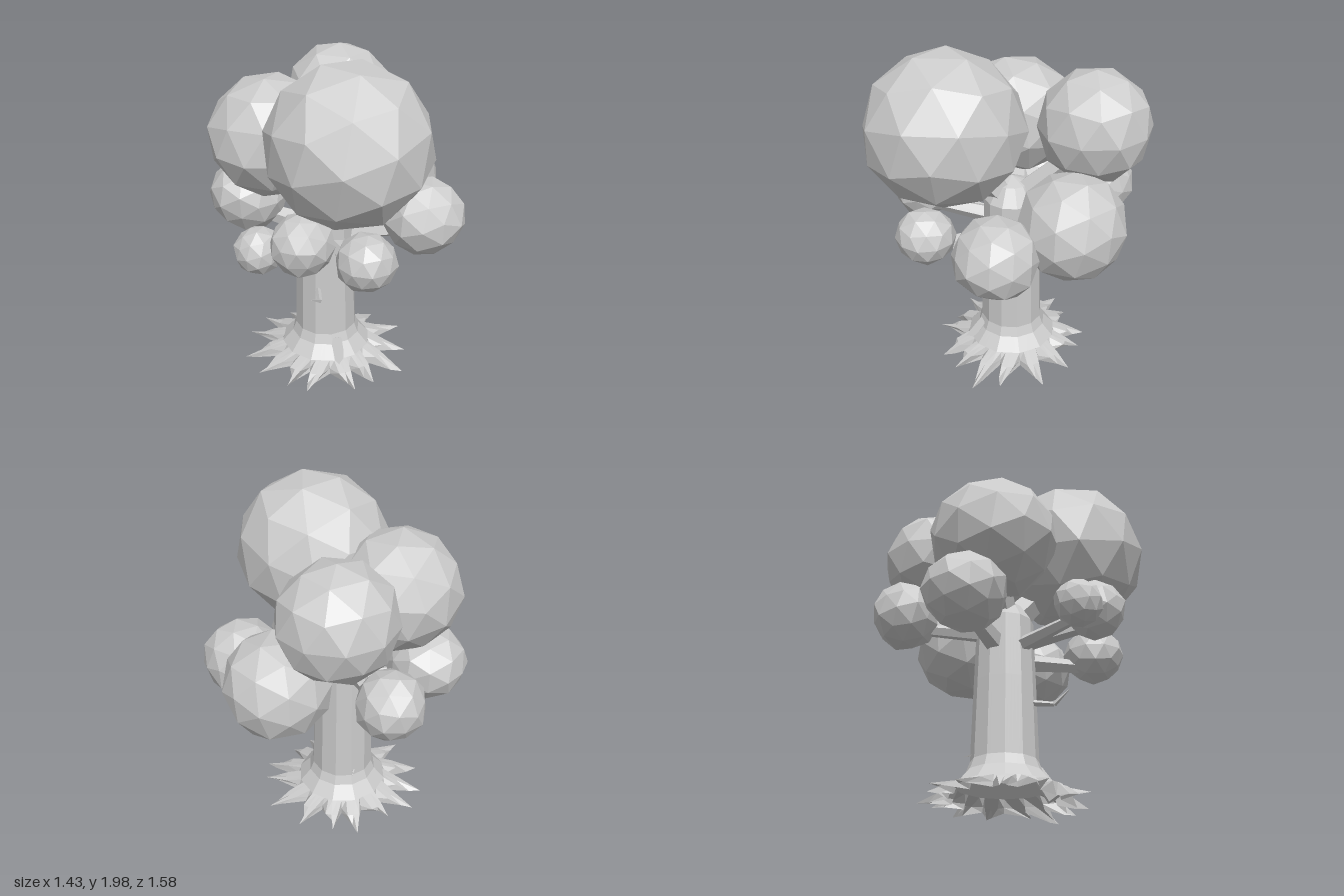
import * as THREE from 'three';

const bark = new THREE.MeshStandardMaterial({ color: 0xcccccc, flatShading: true, side: THREE.DoubleSide });
const leaf = new THREE.MeshStandardMaterial({ color: 0xcccccc, flatShading: true });

// Trunk axis
const CX = -0.065, CZ = -0.05;

// Repeatable noise in -1..1
function noise(n) {
  const s = Math.sin(n * 12.9898 + 4.137) * 43758.5453;
  return 2 * (s - Math.floor(s)) - 1;
}

function addMesh(parent, name, geometry, material) {
  const mesh = new THREE.Mesh(geometry, material);
  mesh.name = name;
  parent.add(mesh);
  return mesh;
}

// Skin a list of equally long closed rings, ordered from top to bottom
function loft(rings) {
  const n = rings[0].length;
  const index = [];
  for (let j = 0; j < rings.length - 1; j++) {
    for (let i = 0; i < n; i++) {
      const k = (i + 1) % n;
      const u = j * n, l = u + n;
      index.push(l + i, u + i, l + k, u + i, u + k, l + k);
    }
  }
  let geometry = new THREE.BufferGeometry().setFromPoints(rings.flat());
  geometry.setIndex(index);
  geometry = geometry.toNonIndexed();
  geometry.computeVertexNormals();
  return geometry;
}

// Twelve-sided trunk that flares into a skirt of pointed roots, open below
function trunkGeometry() {
  const sides = 12, roots = 15, perRoot = 4, columns = roots * perRoot;
  const step = (2 * Math.PI) / sides;
  const rings = [];
  const point = (r, a, y) => new THREE.Vector3(CX + r * Math.cos(a), y, CZ + r * Math.sin(a));
  const polygonRing = (y, r) => {
    const ring = [];
    for (let i = 0; i < columns; i++) {
      const a = (i / columns) * 2 * Math.PI;
      const off = (a % step) - step / 2;
      ring.push(point((r * Math.cos(step / 2)) / Math.cos(off), a, y));
    }
    rings.push(ring);
  };
  polygonRing(1.22, 0.001);
  polygonRing(1.18, 0.1);
  polygonRing(1.08, 0.165);
  polygonRing(0.7, 0.176);
  polygonRing(0.25, 0.188);
  polygonRing(0.19, 0.21);
  polygonRing(0.115, 0.275);

  // Roots: a gap, two shoulders and a tip each
  const mid = [], tips = [];
  for (let i = 0; i < columns; i++) {
    const root = Math.floor(i / perRoot), part = i % perRoot;
    const gap = part === 0;
    const a = (i / columns) * 2 * Math.PI;
    const reach = 0.48 + 0.05 * noise(root + 1);
    const bend = 0.12 * noise(root + 40);
    const centre = ((root * perRoot + 2) / columns) * 2 * Math.PI + bend;
    mid.push(point(gap ? 0.29 : 0.36, gap ? a : a + bend * 0.4, gap ? 0.07 : 0.08));
    const y = 0.028 + 0.022 * noise(root + 90);
    if (gap) tips.push(point(0.3, a, 0.04));
    else tips.push(point(part === 2 ? reach : reach - 0.07, centre + (part - 2) * 0.04, y));
  }
  rings.push(mid, tips);
  return loft(rings);
}

// Faceted clump of leaves, with rougher corners on the small ones
function clumpGeometry(rx, ry, rz, seed) {
  const rough = rx < 0.25 ? 0.035 : 0.015;
  const geometry = new THREE.IcosahedronGeometry(1, 1);
  geometry.rotateX(seed * 0.7).rotateY(seed * 1.3);
  const p = geometry.attributes.position;
  const v = new THREE.Vector3();
  for (let i = 0; i < p.count; i++) {
    v.fromBufferAttribute(p, i);
    const key = Math.round(v.x * 100) + Math.round(v.y * 100) * 1.7 + Math.round(v.z * 100) * 2.9;
    v.multiplyScalar(1 + rough * noise(key * 0.1 + seed));
    p.setXYZ(i, v.x * rx, v.y * ry, v.z * rz);
  }
  geometry.computeVertexNormals();
  return geometry;
}

// Tapered limb between two points
function limb(parent, name, from, to, r0, r1, sides) {
  const dir = to.clone().sub(from);
  const mesh = addMesh(parent, name, new THREE.CylinderGeometry(r1, r0, dir.length(), sides), bark);
  mesh.position.copy(from).addScaledVector(dir, 0.5);
  mesh.quaternion.setFromUnitVectors(new THREE.Vector3(0, 1, 0), dir.normalize());
}

export function createModel() {
  const tree = new THREE.Group();
  tree.name = 'tree';
  addMesh(tree, 'trunkAndRoots', trunkGeometry(), bark);

  // Leaf clumps: centre, radii, then branch height at the trunk and thickness
  const clumps = [
    ['crown', -0.01, 1.565, 0.335, 0.452, 0.443, 0.46, 1.05, 0.09],
    ['rightUpper', -0.36, 1.48, -0.12, 0.358, 0.35, 0.368, 1.05, 0.09],
    ['backUpper', 0.105, 1.57, -0.48, 0.327, 0.323, 0.322, 1.05, 0.08],
    ['left', 0.385, 1.11, -0.298, 0.307, 0.307, 0.307, 0.98, 0.07],
    ['leftFront', 0.48, 1.015, 0.14, 0.243, 0.233, 0.238, 0.86, 0.06],
    ['front', 0.063, 0.94, 0.475, 0.172, 0.167, 0.175, 0.84, 0.06],
    ['frontRight', -0.28, 1.07, 0.45, 0.174, 0.174, 0.174, 0.93, 0.06],
    ['rightSmall', -0.5, 1.0, 0.333, 0.134, 0.134, 0.134, 0.9, 0.05],
    ['rightLower', -0.49, 1.06, -0.27, 0.234, 0.216, 0.234, 0.88, 0.07],
    ['backLower', -0.143, 1.09, -0.62, 0.192, 0.202, 0.19, 1.0, 0.05],
  ];
  clumps.forEach(([name, x, y, z, rx, ry, rz, base, thick], i) => {
    addMesh(tree, name + 'Clump', clumpGeometry(rx, ry, rz, i + 1), leaf).position.set(x, y, z);
    const start = new THREE.Vector3(CX, base, CZ);
    const end = new THREE.Vector3(x, y - 0.08, z);
    limb(tree, name + 'Branch', start, end, thick, thick * 0.6, 5);
  });

  // Bent twig on the front of the trunk
  const twigRoot = new THREE.Vector3(-0.14, 0.565, 0.1);
  const twigBend = new THREE.Vector3(-0.15, 0.555, 0.22);
  const twigEnd = new THREE.Vector3(-0.21, 0.62, 0.3);
  limb(tree, 'twigBase', twigRoot, twigBend, 0.018, 0.014, 4);
  limb(tree, 'twigTip', twigBend, twigEnd, 0.014, 0.002, 4);

  // Thorn and knob low on the trunk
  limb(tree, 'backThorn', new THREE.Vector3(-0.1, 0.285, -0.2), new THREE.Vector3(-0.06, 0.28, -0.27), 0.012, 0.002, 4);
  limb(tree, 'frontKnob', new THREE.Vector3(-0.04, 0.06, 0.22), new THREE.Vector3(-0.04, 0.21, 0.12), 0.05, 0.04, 5);
  return tree;
}
